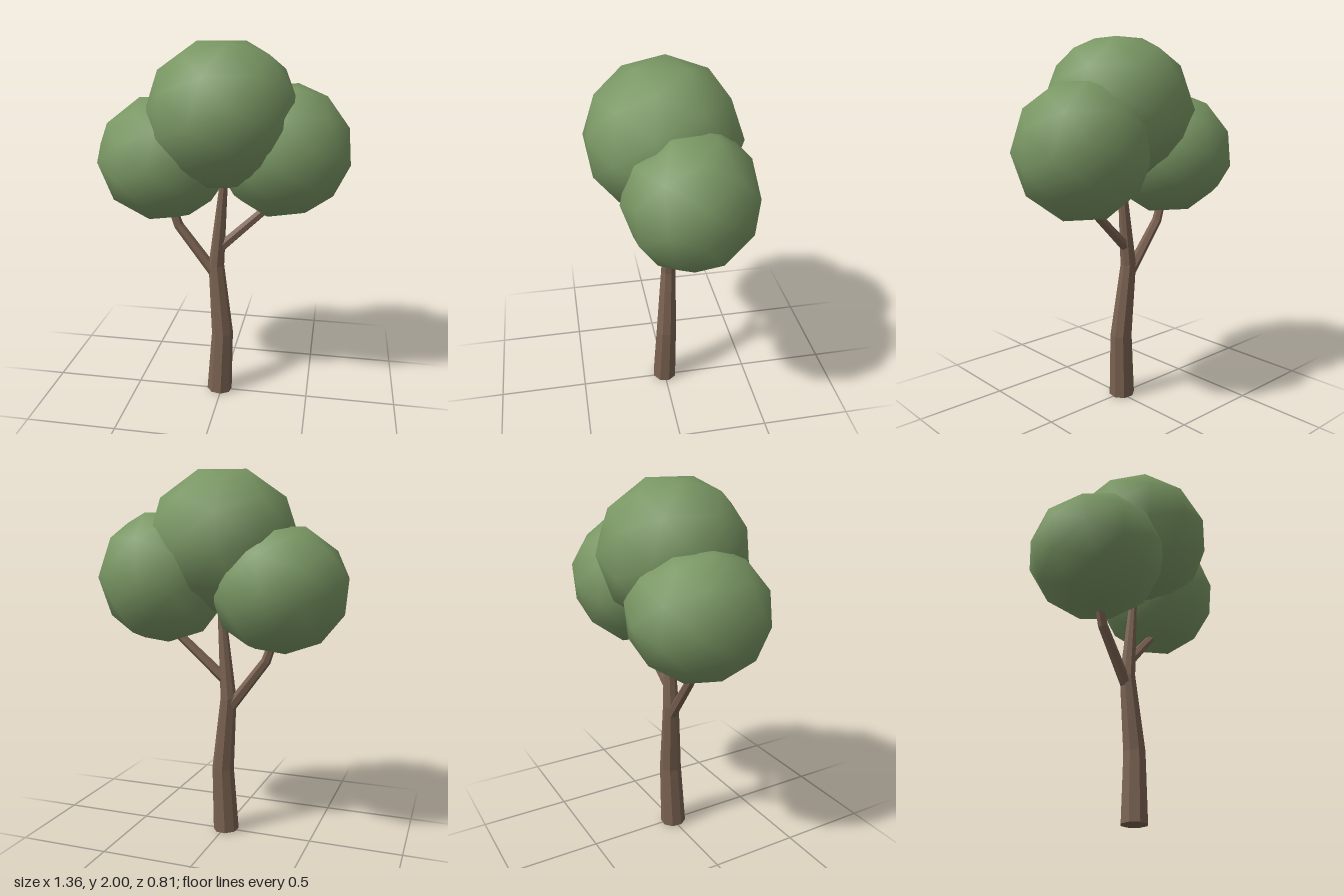
import * as THREE from 'three';

const bark = new THREE.MeshStandardMaterial({ color: 0x7a6251, flatShading: true });
bark.name = 'bark';
const leaf = new THREE.MeshStandardMaterial({ color: 0x7a9764 });
leaf.name = 'leaf';

// Faceted, bending limb through stations [x, y, z, radius], closed at both ends
function limb(name, stations, sides) {
  const pts = stations.map(([x, y, z]) => new THREE.Vector3(x, y, z));
  const n = pts.length, pos = [], index = [];
  pts.forEach((p, i) => {
    const dir = pts[Math.min(i + 1, n - 1)].clone().sub(pts[Math.max(i - 1, 0)]).normalize();
    const turn = new THREE.Quaternion().setFromUnitVectors(new THREE.Vector3(0, 1, 0), dir);
    for (let k = 0; k < sides; k++) {
      const a = ((k + 0.3) / sides) * Math.PI * 2, r = stations[i][3];
      const v = new THREE.Vector3(Math.cos(a) * r, 0, -Math.sin(a) * r).applyQuaternion(turn).add(p);
      pos.push(v.x, v.y, v.z);
    }
  });
  for (let i = 0; i < n - 1; i++) {
    for (let k = 0; k < sides; k++) {
      const a = i * sides + k, b = i * sides + ((k + 1) % sides);
      index.push(a, b, b + sides, a, b + sides, a + sides);
    }
  }
  const top = (n - 1) * sides;
  for (let k = 1; k < sides - 1; k++) index.push(0, k + 1, k, top, top + k, top + k + 1);
  const g = new THREE.BufferGeometry();
  g.setAttribute('position', new THREE.Float32BufferAttribute(pos, 3));
  g.setIndex(index);
  g.computeVertexNormals();
  const mesh = new THREE.Mesh(g, bark);
  mesh.name = name;
  return mesh;
}

// Smooth low-poly ball resting on one face, turned and scaled
function crown(name, center, size, turn) {
  const g = new THREE.IcosahedronGeometry(1, 1);
  const t = (1 + Math.sqrt(5)) / 2;
  const y = new THREE.Vector3(1, 1, 1).normalize();
  const m = new THREE.Vector3(1, t + 1, t);
  const x = m.clone().addScaledVector(y, -m.dot(y)).normalize();
  const z = x.clone().cross(y);
  g.applyMatrix4(new THREE.Matrix4().makeBasis(x, y, z).transpose());
  g.rotateY(turn);
  g.scale(...size);
  const mesh = new THREE.Mesh(g, leaf);
  mesh.name = name;
  mesh.position.set(...center);
  return mesh;
}

export function createModel() {
  const tree = new THREE.Group();
  tree.name = 'tree';
  tree.add(
    // Trunk and its two side branches
    limb('trunk', [
      [-0.012, 0.005, 0, 0.072],
      [0.003, 0.37, -0.01, 0.061],
      [-0.035, 0.78, -0.028, 0.044],
      [0.008, 1.26, -0.02, 0.022],
      [0.015, 1.4, -0.015, 0.016],
    ], 8),
    limb('rightBranch', [
      [-0.03, 0.71, -0.028, 0.032],
      [-0.25, 1.0, -0.035, 0.027],
      [-0.32, 1.2, -0.035, 0.02],
    ], 6),
    limb('leftBranch', [
      [-0.03, 0.87, -0.025, 0.03],
      [0.24, 1.12, -0.055, 0.024],
      [0.34, 1.24, -0.07, 0.018],
    ], 6),
    // Foliage
    crown('topFoliage', [0.008, 1.63, 0.01], [0.412, 0.396, 0.405], -3.4),
    crown('rightFoliage', [-0.32, 1.385, -0.035], [0.368, 0.343, 0.372], Math.PI),
    crown('leftFoliage', [0.318, 1.44, -0.07], [0.365, 0.364, 0.342], Math.PI),
  );
  return tree;
}
